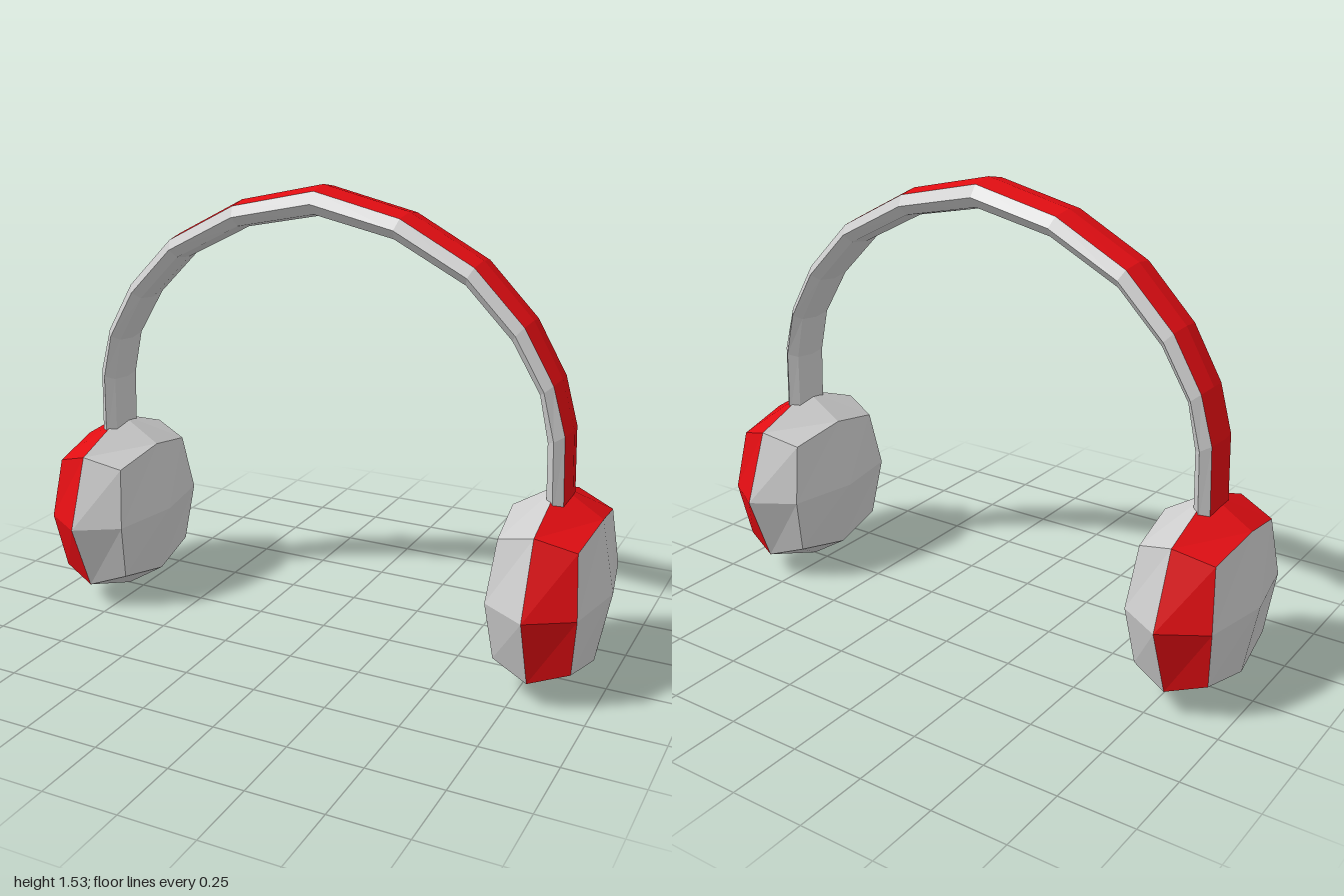
import * as THREE from 'three';

const grey = new THREE.MeshStandardMaterial({ color: 0xcccccc, flatShading: true });
const red = new THREE.MeshStandardMaterial({ color: 0xe00d12, flatShading: true });

function meshFrom(points, material, name) {
  const geometry = new THREE.BufferGeometry().setFromPoints(points);
  geometry.computeVertexNormals();
  const mesh = new THREE.Mesh(geometry, material);
  mesh.name = name;
  return mesh;
}

// Ear cup: a cube of 2 x 2 quads per face, rounded off and flattened along x
function earCup(side) {
  const box = new THREE.BoxGeometry(2, 2, 2, 2, 2, 2).toNonIndexed();
  const pos = box.attributes.position;
  const radius = [0, 0.33, 0.24, 0.2];  // face centre, edge middle, corner
  const width = [0, 0.19, 0.145, 0.125];
  const shell = [], band = [];
  for (let i = 0; i < pos.count; i += 3) {
    let sumX = 0;
    const tri = [0, 1, 2].map((k) => {
      const v = new THREE.Vector3().fromBufferAttribute(pos, i + k).round();
      const n = Math.abs(v.x) + Math.abs(v.y) + Math.abs(v.z);
      sumX += v.x;
      return v.multiply(new THREE.Vector3(width[n], radius[n], radius[n]));
    });
    // the outer half of the rim is red; the first two box faces are the +x and -x caps
    const isRim = i >= 48;
    (isRim && sumX * side > 0 ? band : shell).push(...tri);
  }
  const cup = new THREE.Group();
  cup.name = side > 0 ? 'leftEarCup' : 'rightEarCup';
  cup.add(meshFrom(shell, grey, 'cupShell'), meshFrom(band, red, 'cupRim'));
  cup.position.set(0.81 * side, 0.333, 0);
  return cup;
}

// Headband: a bevelled section swept over the arch
function headband() {
  // outer x, y and inner x, y from the top of the arch down to the cup
  const half = [
    [0, 1.535, 0, 1.437], [0.295, 1.468, 0.27, 1.382], [0.54, 1.338, 0.505, 1.262],
    [0.705, 1.17, 0.655, 1.11], [0.803, 1.0, 0.748, 0.955], [0.848, 0.845, 0.777, 0.81],
    [0.857, 0.59, 0.782, 0.59],
  ];
  const mirrored = half.slice(1).reverse().map(([a, b, c, d]) => [-a, b, -c, d]);
  const stations = [...mirrored, ...half];
  // section as z and depth (0 outer face, 1 inner face)
  const section = [[0, 0], [0.072, 0.14], [0.1, 0.52], [0.07, 0.88],
    [0, 1], [-0.07, 0.88], [-0.1, 0.52], [-0.072, 0.14]];
  const rings = stations.map(([ox, oy, ix, iy]) => section.map(([z, t]) => {
    const taper = 0.88 + 0.12 * Math.min(1, (oy - 0.59) / 0.9);
    return new THREE.Vector3(ox + (ix - ox) * t, oy + (iy - oy) * t, z * taper);
  }));
  const outer = [], inner = [];
  for (let i = 0; i < rings.length - 1; i++) {
    for (let j = 0; j < section.length; j++) {
      const k = (j + 1) % section.length;
      const a = rings[i][j], b = rings[i + 1][j], c = rings[i + 1][k], d = rings[i][k];
      (j === 0 || k === 0 ? outer : inner).push(a, d, c, a, c, b);
    }
  }
  const group = new THREE.Group();
  group.name = 'headband';
  group.add(meshFrom(outer, red, 'bandOuterStrip'), meshFrom(inner, grey, 'bandBody'));
  return group;
}

export function createModel() {
  const model = new THREE.Group();
  model.name = 'headphones';
  model.add(headband(), earCup(1), earCup(-1));
  return model;
}
